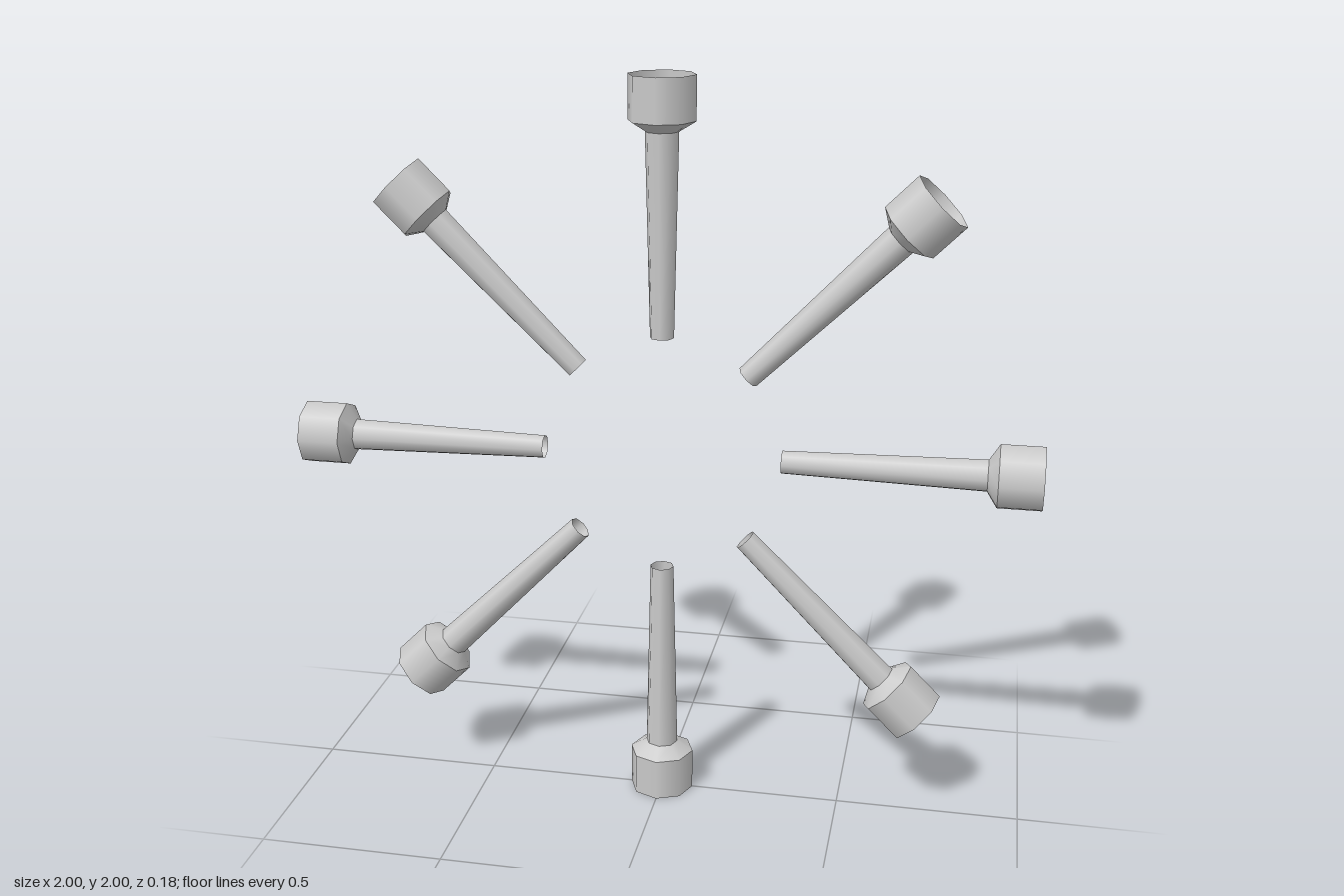
import * as THREE from 'three';

const SPOKES = 8;
const SIDES = 8;

// Each section runs outward: [name, start distance, end distance, start radius, end radius]
const SECTIONS = [
  ['stem', 0.323, 0.858, 0.032, 0.044],
  ['flare', 0.858, 0.885, 0.044, 0.088],
  ['cup', 0.885, 1.0, 0.088, 0.088],
];

export function createModel() {
  const material = new THREE.MeshStandardMaterial({ color: 0xcccccc, side: THREE.DoubleSide });

  // Open-ended sections, kept separate so the edges between them stay sharp
  const parts = SECTIONS.map(([name, from, to, r0, r1]) => {
    const geometry = new THREE.CylinderGeometry(r1, r0, to - from, SIDES, 1, true);
    geometry.translate(0, (from + to) / 2, 0);
    return { name, geometry };
  });

  const model = new THREE.Group();
  model.name = 'radialTubes';

  // Ring of hollow tubes around the centre, cups facing outward
  for (let i = 0; i < SPOKES; i++) {
    const tube = new THREE.Group();
    tube.name = `tube${i + 1}`;
    for (const { name, geometry } of parts) {
      const mesh = new THREE.Mesh(geometry, material);
      mesh.name = name;
      tube.add(mesh);
    }
    tube.position.y = 1;
    tube.rotation.z = (i / SPOKES) * Math.PI * 2;
    model.add(tube);
  }
  return model;
}
